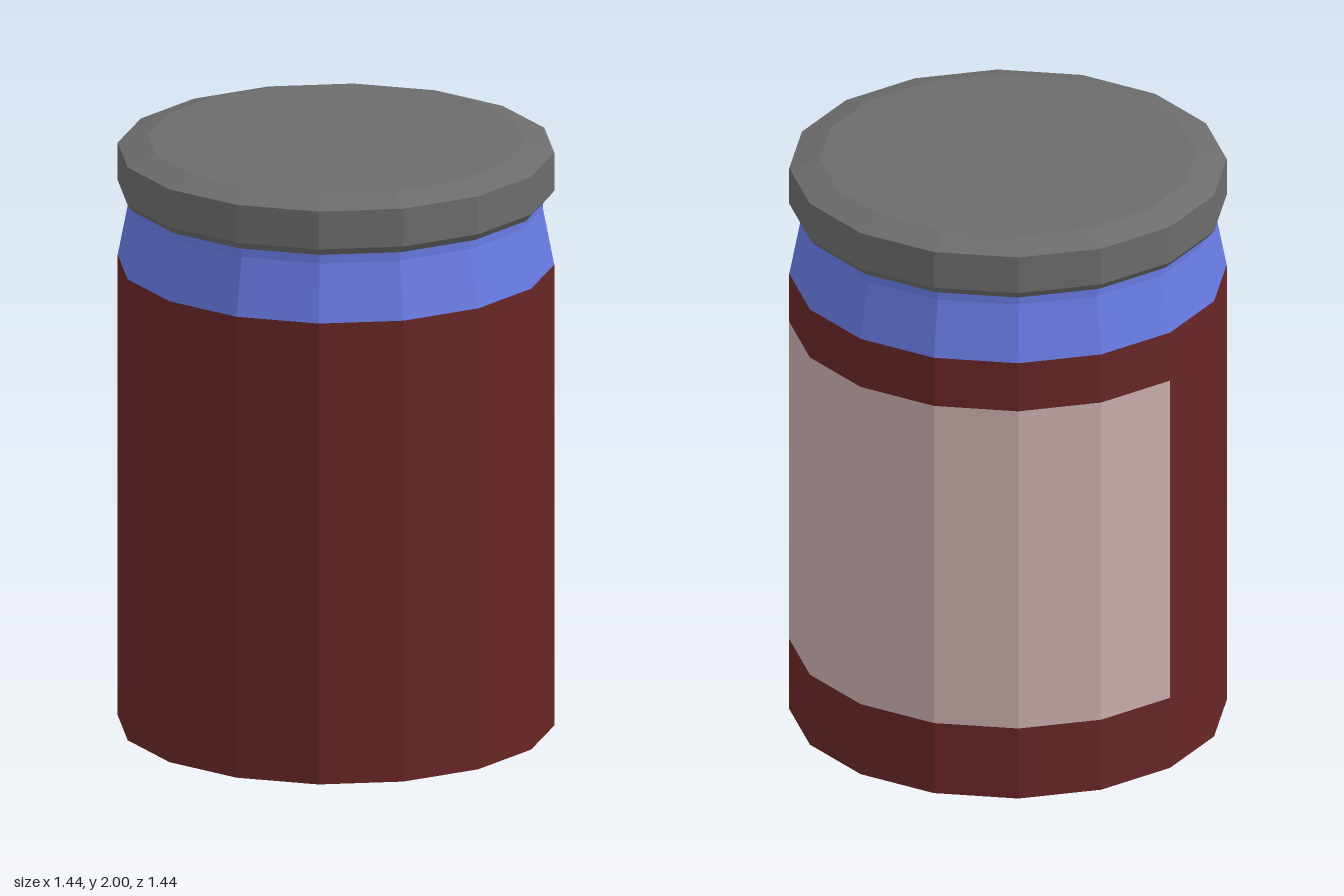
import * as THREE from 'three';

const SIDES = 16;
const STEP = (Math.PI * 2) / SIDES;

const flat = (name, color) => {
  const m = new THREE.MeshStandardMaterial({ color, flatShading: true });
  m.name = name;
  return m;
};

export function createModel() {
  const jar = new THREE.Group();
  jar.name = 'jar';

  const contents = flat('dark red', 0x682626);
  const glass = flat('blue', 0x687be4);
  const paper = flat('pale pink', 0xcbaeae);
  const metal = flat('grey', 0x6c6c6c);

  // Turns a [radius, height] profile (bottom to top) around part of the 16-sided jar
  const turn = (name, material, profile, firstSide = 0, sides = SIDES) => {
    const points = profile.map(([r, y]) => new THREE.Vector2(r, y));
    const geometry = new THREE.LatheGeometry(points, sides, firstSide * STEP, sides * STEP);
    const mesh = new THREE.Mesh(geometry, material);
    mesh.name = name;
    jar.add(mesh);
  };

  const R = 0.72;
  const labelBottom = 0.255, labelTop = 1.41, shoulder = 1.585;

  // Body, left open where the label wraps six sides of the back
  turn('bodyBase', contents, [[0, 0], [R, 0], [R, labelBottom]]);
  turn('bodyMiddle', contents, [[R, labelBottom], [R, labelTop]], 11, 10);
  turn('label', paper, [[R, labelBottom], [R, labelTop]], 5, 6);
  turn('bodyTop', contents, [[R, labelTop], [R, shoulder]]);

  // Tapered neck
  turn('neck', glass, [[R, shoulder], [0.682, 1.78], [0.682, 1.82]]);

  // Lid with a small lower lip and a bevelled top
  turn('lid', metal, [[0, 1.815], [0.7, 1.815], [R, 1.84], [R, 1.97], [0.62, 2], [0, 2]]);

  return jar;
}
